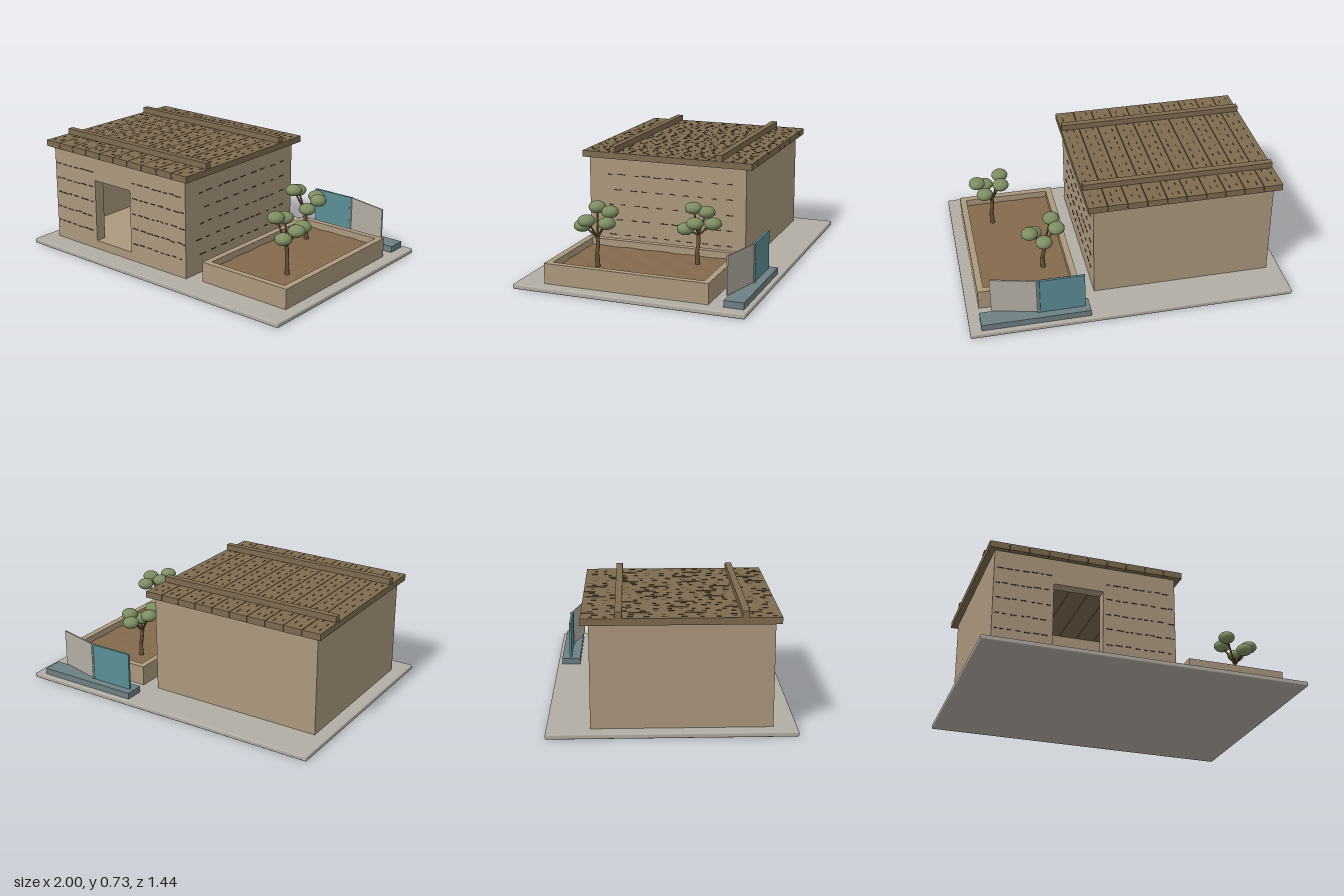
import * as THREE from 'three';
import { RoundedBoxGeometry } from 'three/addons/geometries/RoundedBoxGeometry.js';
import { mergeGeometries } from 'three/addons/utils/BufferGeometryUtils.js';

const material = (name, color) => new THREE.MeshStandardMaterial({ name, color });

export function createModel() {
  const paving = material('paving stone', 0xb3aea4);
  const clay = material('tan clay', 0xac987e);
  const timber = material('roof timber', 0x7f6b50);
  const groove = material('dark groove', 0x43362a);
  const bark = material('bark', 0x6b5138);
  const leaf = material('leaf green', 0x7d8d62);
  const teal = material('teal panel', 0x5a8e96);
  const pale = material('pale panel', 0xb4aea3);
  const slate = material('slate plinth', 0x6d8084);
  const earth = material('soil', 0x846a4c);
  const model = new THREE.Group();

  const add = (name, geometry, mat, parent = model) => {
    const mesh = new THREE.Mesh(geometry, mat);
    mesh.name = name;
    parent.add(mesh);
    return mesh;
  };
  const group = (name) => {
    const g = new THREE.Group();
    g.name = name;
    model.add(g);
    return g;
  };
  // box geometry given by its extents
  const block = (x0, x1, y0, y1, z0, z1) => new THREE.BoxGeometry(x1 - x0, y1 - y0, z1 - z0)
    .translate((x0 + x1) / 2, (y0 + y1) / 2, (z0 + z1) / 2);
  let seed = 7;
  const random = () => (seed = (seed * 16807) % 2147483647) / 2147483647;

  // ground slab
  add('base', new RoundedBoxGeometry(2, 0.03, 1.436, 2, 0.008).translate(0, 0.015, 0), paving);

  // hollow house with a doorway in the front wall
  const house = group('house');
  const front = new THREE.Shape([[-0.915, 0.03], [0.205, 0.03], [0.205, 0.65], [-0.915, 0.65]]
    .map(([x, y]) => new THREE.Vector2(x, y)));
  front.holes.push(new THREE.Path([[-0.555, 0.085], [-0.555, 0.49], [-0.25, 0.49], [-0.25, 0.085]]
    .map(([x, y]) => new THREE.Vector2(x, y))));
  add('frontWall', new THREE.ExtrudeGeometry(front, { depth: 0.07, bevelEnabled: false })
    .translate(0, 0, 0.51), clay, house);
  add('backWall', block(-0.915, 0.205, 0.03, 0.65, -0.465, -0.395), clay, house);
  add('leftWall', block(0.135, 0.205, 0.03, 0.65, -0.395, 0.51), clay, house);
  add('rightWall', block(-0.915, -0.845, 0.03, 0.65, -0.395, 0.51), clay, house);
  add('floor', block(-0.845, 0.135, 0.03, 0.085, -0.395, 0.51), clay, house);

  // broken course lines on the front and left walls
  const courses = [];
  for (let row = 0; row < 5; row++) {
    const y = 0.148 + row * 0.0985;
    for (const [start, end] of [[-0.9, -0.57], [-0.23, 0.2]]) {
      for (let x = start; x < end - 0.015;) {
        const len = Math.min(0.018 + random() * 0.026, end - x);
        const dy = (random() - 0.5) * 0.006;
        courses.push(block(x, x + len, y + dy - 0.003, y + dy + 0.003, 0.579, 0.583));
        x += len + 0.008 + random() * 0.02;
      }
    }
    for (let z = -0.38; z < 0.45;) {
      const len = 0.025 + random() * 0.03;
      const dy = (random() - 0.5) * 0.004;
      courses.push(block(0.204, 0.208, y + dy - 0.003, y + dy + 0.003, z, z + len));
      z += len + 0.02 + random() * 0.05;
    }
  }
  add('wallCourses', mergeGeometries(courses), groove, house);

  // plank roof with two cross battens and grain marks
  const roof = group('roof');
  const grain = [];
  for (let i = 0; i < 10; i++) {
    const x = -0.955 + i * 0.12;
    add('roofPlank', block(x + 0.002, x + 0.118, 0.65, 0.69, -0.51, 0.612), timber, roof);
    for (const offset of [0.036, 0.082]) {
      for (let z = -0.49 + random() * 0.05; z < 0.57;) {
        const len = 0.018 + random() * 0.02;
        const gx = x + offset + (random() - 0.5) * 0.008;
        grain.push(block(gx - 0.003, gx + 0.003, 0.689, 0.692, z, z + len));
        z += len + 0.035 + random() * 0.045;
      }
    }
  }
  add('roofGrain', mergeGeometries(grain), groove, roof);
  for (const z of [-0.298, 0.408]) {
    add('roofBatten', block(-0.948, 0.238, 0.69, 0.727, z - 0.02, z + 0.02), timber, roof);
  }

  // planter box
  const planter = group('planter');
  add('planterFront', block(0.305, 0.925, 0.03, 0.155, 0.505, 0.545), clay, planter);
  add('planterBack', block(0.305, 0.925, 0.03, 0.155, -0.48, -0.44), clay, planter);
  add('planterRight', block(0.305, 0.345, 0.03, 0.155, -0.44, 0.505), clay, planter);
  add('planterLeft', block(0.885, 0.925, 0.03, 0.155, -0.44, 0.505), clay, planter);

  // gently rippled soil
  const soil = new THREE.PlaneGeometry(0.54, 0.945, 18, 30).rotateX(-Math.PI / 2)
    .translate(0.615, 0.112, 0.0325);
  const p = soil.attributes.position;
  for (let i = 0; i < p.count; i++) {
    p.setY(i, p.getY(i) + 0.002 * Math.sin(p.getX(i) * 38 + p.getZ(i) * 30));
  }
  soil.computeVertexNormals();
  add('soil', soil, earth, planter);

  // trees: curved trunk, a branch to each leaf cluster
  const tube = (points, radius) => new THREE.TubeGeometry(
    new THREE.CatmullRomCurve3(points.map((q) => new THREE.Vector3(...q))), 10, radius, 8);
  const tree = (name, x, z, lean, clusters) => {
    const g = group(name);
    const fork = [x + lean, 0.285, z];
    add('trunk', tube([[x, 0.105, z], [x + 0.004, 0.17, z + 0.004], [x + lean * 0.6, 0.23, z - 0.002], fork], 0.012), bark, g);
    add('trunkFlare', new THREE.CylinderGeometry(0.011, 0.016, 0.08, 10).translate(x, 0.145, z), bark, g);
    add('fork', new THREE.SphereGeometry(0.012, 10, 8).translate(...fork), bark, g);
    for (const [cx, cy, cz] of clusters) {
      const mid = [(fork[0] + cx) / 2, (fork[1] + cy) / 2 + 0.003, (fork[2] + cz) / 2];
      add('branch', tube([fork, mid, [cx, cy, cz]], 0.0055), bark, g);
      add('leafCluster', new THREE.SphereGeometry(0.052, 20, 14).scale(1, 0.7, 1)
        .translate(cx, cy, cz), leaf, g);
    }
  };
  tree('frontTree', 0.738, 0.285, -0.006, [
    [0.67, 0.457, 0.312], [0.675, 0.435, 0.228], [0.782, 0.395, 0.2],
    [0.82, 0.41, 0.312], [0.765, 0.362, 0.365]]);
  tree('backTree', 0.488, -0.255, -0.014, [
    [0.42, 0.435, -0.203], [0.4, 0.412, -0.28], [0.565, 0.382, -0.265],
    [0.49, 0.37, -0.353], [0.532, 0.335, -0.195]]);

  // two hinged screens on a low plinth
  const screen = group('screen');
  add('plinth', block(0.265, 0.93, 0.03, 0.07, -0.69, -0.57), slate, screen);
  add('tealScreen', block(0.293, 0.575, 0.07, 0.305, -0.641, -0.627), teal, screen);
  add('screenPost', new THREE.CylinderGeometry(0.011, 0.011, 0.235, 16)
    .translate(0.576, 0.1875, -0.634), slate, screen);
  const leafPanel = add('paleScreen', block(0, 0.288, -0.115, 0.117, -0.005, 0.005), pale, screen);
  leafPanel.position.set(0.576, 0.188, -0.634);
  leafPanel.rotation.y = -0.245;

  return model;
}
